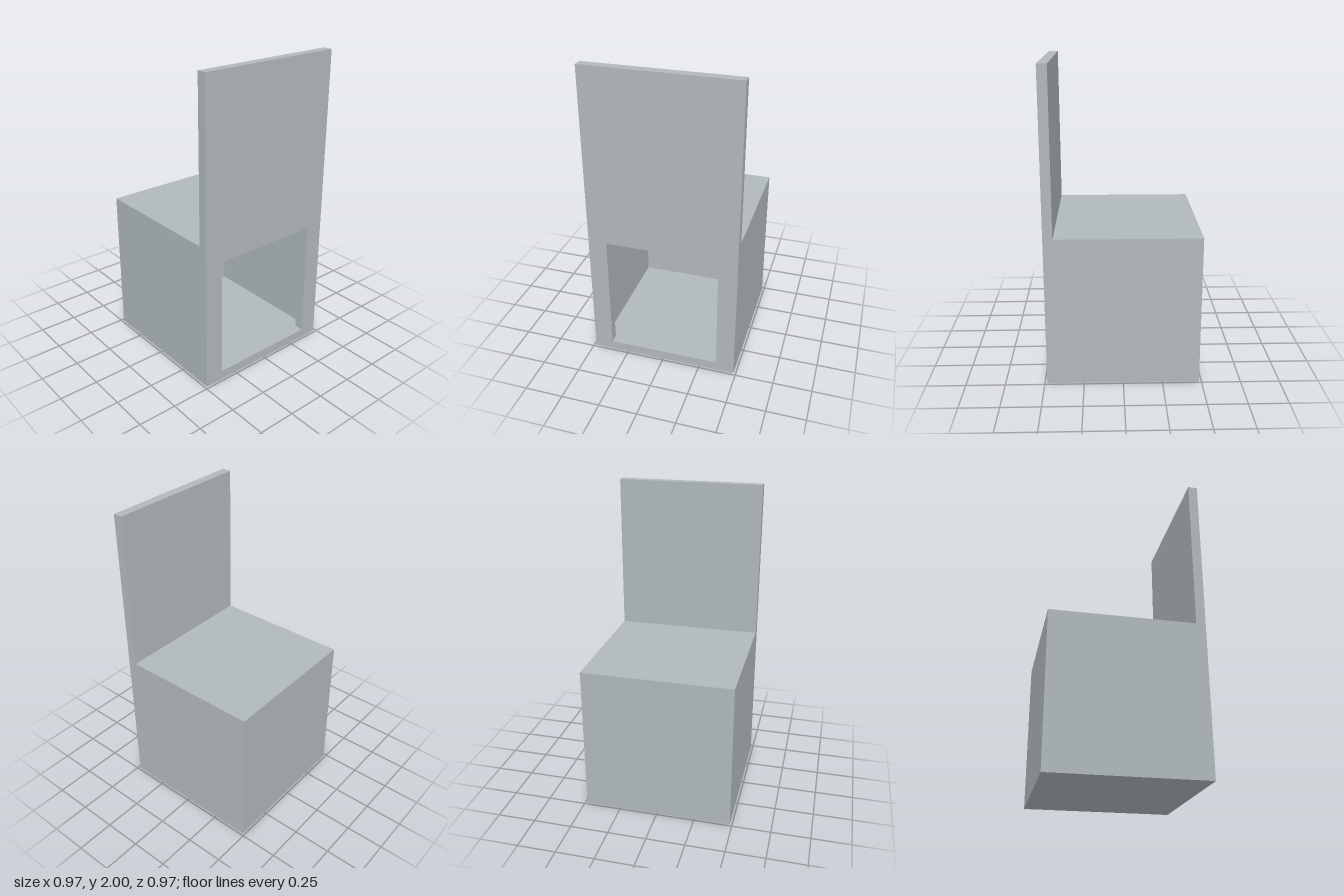
import * as THREE from 'three';

const U = 2 / 33; // wall thickness, the module of every dimension

// Rectangle outline centred on x, from y0 to y1
function rect(Type, halfWidth, y0, y1) {
  const p = new Type();
  p.moveTo(-halfWidth, y0);
  p.lineTo(halfWidth, y0);
  p.lineTo(halfWidth, y1);
  p.lineTo(-halfWidth, y1);
  p.closePath();
  return p;
}

// Upright slab between z0 and z1, with an optional rectangular opening
function slab(name, material, outer, z0, z1, hole) {
  const shape = rect(THREE.Shape, ...outer);
  if (hole) shape.holes.push(rect(THREE.Path, ...hole));
  const geometry = new THREE.ExtrudeGeometry(shape, { depth: z1 - z0, bevelEnabled: false });
  geometry.translate(0, 0, z0);
  const mesh = new THREE.Mesh(geometry, material);
  mesh.name = name;
  return mesh;
}

export function createModel() {
  const group = new THREE.Group();
  group.name = 'hollowSeat';
  const grey = new THREE.MeshStandardMaterial({ color: 0xb0b8bc });
  grey.name = 'pale grey';

  group.add(
    // Tall front panel with the opening into the box
    slab('frontPanel', grey, [8 * U, 0, 33 * U], 7 * U, 8 * U, [6 * U, U, 14 * U]),
    // Floor, sides and seat top as one hollow sleeve
    slab('boxSleeve', grey, [8 * U, 0, 16 * U], -7 * U, 7 * U, [7 * U, U, 15 * U]),
    // Closed rear wall
    slab('rearWall', grey, [8 * U, 0, 16 * U], -8 * U, -7 * U)
  );
  return group;
}
